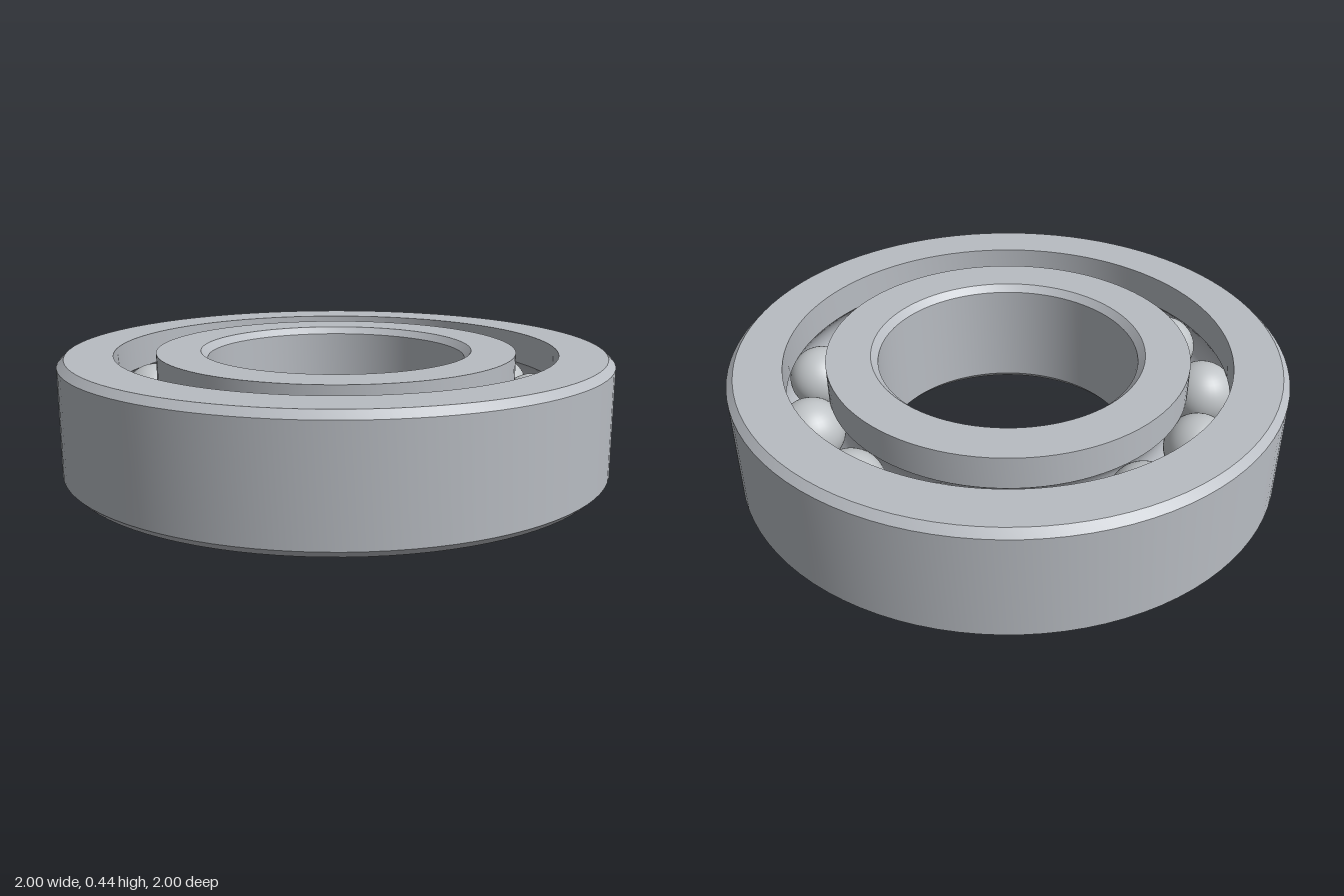
import * as THREE from 'three';
import { toCreasedNormals } from 'three/addons/utils/BufferGeometryUtils.js';

const H = 0.435;            // ring height
const CHAMFER = 0.025;
const PITCH = 0.73;         // radius of the circle of balls
const BALL_R = 0.12;
const GROOVE_R = 0.123;     // raceway radius
const BALLS = 13;

// Raceway arc cut into a ring wall; side is +1 for the outer ring, -1 for the inner
function groove(wallR, side) {
  const half = Math.acos(Math.abs(wallR - PITCH) / GROOVE_R);
  const steps = 10;
  return Array.from({ length: steps + 1 }, (_, i) => {
    const a = side * half * (1 - (2 * i) / steps);
    return [PITCH + side * GROOVE_R * Math.cos(a), H / 2 + GROOVE_R * Math.sin(a)];
  });
}

// Closed profile turned around the axis, with sharp edges kept
function ring(name, profile, material) {
  const points = [...profile, profile[0]].map(([r, y]) => new THREE.Vector2(r, y));
  const geometry = toCreasedNormals(new THREE.LatheGeometry(points, 96), Math.PI / 6);
  const mesh = new THREE.Mesh(geometry, material);
  mesh.name = name;
  return mesh;
}

export function createModel() {
  const group = new THREE.Group();
  group.name = 'ballBearing';
  const steel = new THREE.MeshStandardMaterial({ color: 0xb8bcc2 });
  steel.name = 'steel';
  const ballSteel = new THREE.MeshStandardMaterial({ color: 0xc0c4c7 });
  ballSteel.name = 'polished ball steel';

  // Outer ring: chamfered outside, raceway inside
  const outerWall = 0.805;
  group.add(ring('outerRing', [
    [1 - CHAMFER, 0], [1, CHAMFER], [1, H - CHAMFER], [1 - CHAMFER, H],
    [outerWall, H], ...groove(outerWall, 1), [outerWall, 0],
  ], steel));

  // Inner ring: raceway outside, chamfered bore
  const innerWall = 0.655, bore = 0.47;
  group.add(ring('innerRing', [
    [bore + CHAMFER, 0], [innerWall, 0], ...groove(innerWall, -1), [innerWall, H],
    [bore + CHAMFER, H], [bore, H - CHAMFER], [bore, CHAMFER],
  ], steel));

  // Balls, the first one on +x
  const balls = new THREE.Group();
  balls.name = 'balls';
  const ballGeometry = new THREE.SphereGeometry(BALL_R, 32, 24);
  for (let i = 0; i < BALLS; i++) {
    const a = (i / BALLS) * Math.PI * 2;
    const ball = new THREE.Mesh(ballGeometry, ballSteel);
    ball.name = 'ball';
    ball.position.set(PITCH * Math.cos(a), H / 2, PITCH * Math.sin(a));
    balls.add(ball);
  }
  group.add(balls);
  return group;
}
